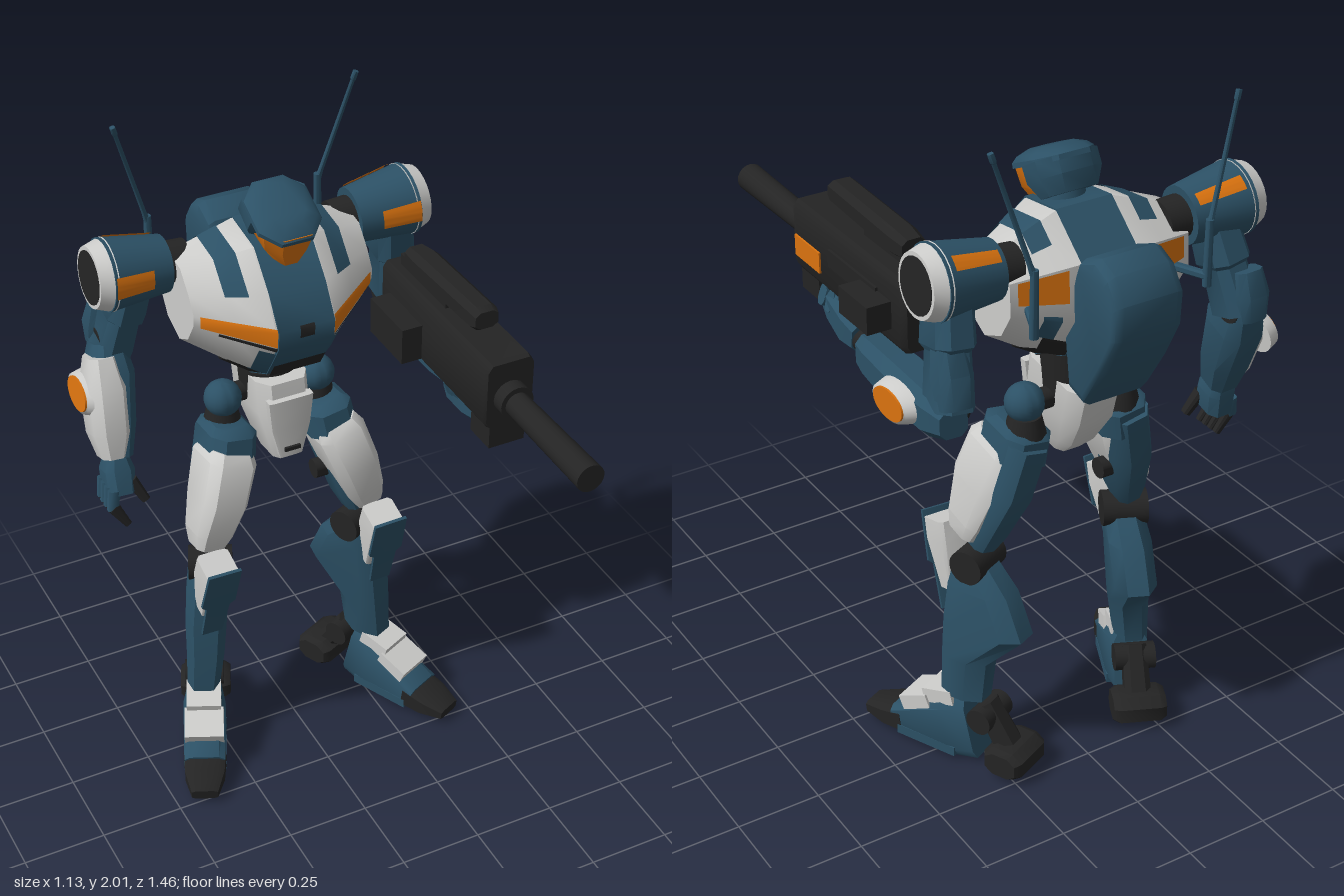
import * as THREE from 'three';
import { toCreasedNormals } from 'three/addons/utils/BufferGeometryUtils.js';

const paint = (name, color) => {
  const m = new THREE.MeshStandardMaterial({ color, side: THREE.DoubleSide });
  m.name = name;
  return m;
};
const V = (x, y, z) => new THREE.Vector3(x, y, z);

export function createModel() {
  const blue = paint('slate blue', 0x2c5166), white = paint('light grey', 0xcdcdcb);
  const orange = paint('orange', 0xdb730f), black = paint('charcoal', 0x242424);
  const root = new THREE.Group();

  function add(name, geo, mat, parent = root, pos = [0, 0, 0], rot = [0, 0, 0]) {
    const m = new THREE.Mesh(toCreasedNormals(geo, 0.7), mat);
    m.name = name;
    m.position.set(...pos);
    m.rotation.set(...rot);
    parent.add(m);
    return m;
  }

  // Closed skin through rings of equal point count; faces are turned outward.
  function loft(rings) {
    const tris = [], n = rings[0].length;
    for (let r = 0; r + 1 < rings.length; r++) for (let i = 0; i < n; i++) {
      const j = (i + 1) % n, a = rings[r], b = rings[r + 1];
      tris.push([a[i], a[j], b[j]], [a[i], b[j], b[i]]);
    }
    const first = rings[0], last = rings[rings.length - 1];
    for (let i = 1; i + 1 < n; i++) tris.push([first[0], first[i + 1], first[i]], [last[0], last[i], last[i + 1]]);
    const vol = tris.reduce((s, [a, b, c]) => s + a.clone().sub(first[0]).dot(b.clone().sub(first[0]).cross(c.clone().sub(first[0]))), 0);
    const pts = tris.flatMap(([a, b, c]) => (vol < 0 ? [a, c, b] : [a, b, c]));
    return new THREE.BufferGeometry().setFromPoints(pts);
  }

  // Chamfered bar from a to b; sections are [t, width, depth, forward shift].
  function limb(a, b, sections, cut = 0.55) {
    const A = V(...a), B = V(...b), d = B.clone().sub(A).normalize();
    const u = Math.abs(d.x) > 0.9 ? V(0, 1, 0) : V(1, 0, 0);
    u.addScaledVector(d, -u.dot(d)).normalize();
    const v = u.clone().cross(d);
    if (v.z < 0) v.negate();
    const oct = [[1, cut], [cut, 1], [-cut, 1], [-1, cut], [-1, -cut], [-cut, -1], [cut, -1], [1, -cut]];
    return loft(sections.map(([t, w, dep, off = 0]) => oct.map(([p, q]) =>
      A.clone().lerp(B, t).addScaledVector(u, p * w / 2).addScaledVector(v, q * dep / 2 + off))));
  }
  const box = (w, h, d) => new THREE.BoxGeometry(w, h, d);
  const cyl = (r1, r2, h, n = 20) => new THREE.CylinderGeometry(r1, r2, h, n);
  const Q = Math.PI / 2;

  // ---- Torso: side outline (z, y) that shrinks towards the shoulders
  const hull = [[-.42, 1.72], [-.28, 1.7], [-.19, 1.6], [-.135, 1.51], [-.14, 1.455],
    [-.22, 1.33], [-.33, 1.27], [-.47, 1.33], [-.55, 1.46], [-.54, 1.62]];
  function hullPoint(x, s, grow = 0) {
    const k = ((s % 10) + 10) % 10, i = Math.floor(k), t = k - i, p = hull[i], q = hull[(i + 1) % 10];
    const f = 1 + grow - Math.max(0, Math.abs(x) - .09) * 2.33;
    return V(x, 1.57 + (p[1] + (q[1] - p[1]) * t - 1.57) * f, -.45 + (p[0] + (q[0] - p[0]) * t + .45) * f);
  }
  const hullRing = (x, g) => hull.map((_, i) => hullPoint(x, i, g));
  // Thin painted panel lying on the hull
  function panel(name, x0, x1, s0, s1, mat, grow = .022) {
    const pts = [], steps = [s0];
    for (let s = Math.floor(s0) + 1; s < s1; s++) steps.push(s);
    steps.push(s1);
    for (let i = 0; i + 1 < steps.length; i++) {
      const a = hullPoint(x0, steps[i], grow), b = hullPoint(x1, steps[i], grow);
      const c = hullPoint(x1, steps[i + 1], grow), d = hullPoint(x0, steps[i + 1], grow);
      pts.push(...(x1 > x0 ? [a, d, c, a, c, b] : [a, c, d, a, b, c]));
    }
    add(name, new THREE.BufferGeometry().setFromPoints(pts), mat);
  }
  add('torsoHull', loft([-.275, -.18, -.09, .09, .18, .275].map(x => hullRing(x, 0))), white);
  add('chestCore', loft([-.085, .085].map(x => hullRing(x, .03))), blue);
  panel('chestVent', -.08, .08, 4.6, 6.3, black, .05);
  panel('chestSlot', -.022, .022, 2.9, 3.5, black, .045);
  for (const s of [-1, 1]) {
    panel('chestBand', s * .087, s * .262, 2.9, 3.9, orange);
    panel('chestSeam', s * .087, s * .22, 3.95, 4.1, black);
    panel('chestLowerPanel', s * .085, s * .125, 4.2, 5.3, blue);
    panel('torsoUnderside', s * .085, s * .17, 5.3, 7.4, black);
    panel('shoulderStripe', s * .135, s * .192, -.5, 2.05, blue);
    panel('backBand', s * .12, s * .255, 8.35, 8.95, orange);
    panel('backStripe', s * .14, s * .19, 7.4, 8.1, blue);
    // Antennas
    add('antennaBase', cyl(.011, .013, .19, 10), blue, root, [s * .266, 1.585, -.6]);
    add('antennaWhip', limb([s * .266, 1.66, -.6], [s * .368, 2, -.56],
      [[0, .018, .018], [.1, .013, .013], [.92, .011, .011], [.93, .015, .015], [1, .015, .015]]), blue);
    add('antennaMount', limb([s * .22, 1.52, -.5], [s * .264, 1.52, -.6], [[0, .022, .022], [1, .022, .022]]), blue);
  }

  // ---- Backpack
  const pack = [[-.55, 1.64], [-.62, 1.67], [-.68, 1.645], [-.725, 1.58], [-.72, 1.48], [-.66, 1.36], [-.58, 1.23], [-.51, 1.25], [-.48, 1.45]];
  add('backpack', loft([[-.107, .84], [-.1, .94], [-.08, 1], [.08, 1], [.1, .94], [.107, .84]].map(([x, f]) =>
    pack.map(([z, y]) => V(x, 1.46 + (y - 1.46) * f, -.6 + (z + .6) * f)))), blue);

  // ---- Head: cap, back shell and a visor below the brim
  const head = new THREE.Group();
  head.name = 'head';
  head.position.set(0, 1.775, -.285);
  head.rotation.x = .45;
  root.add(head);
  add('helmetCap', limb([0, .014, 0], [0, .054, 0], [[0, .19, .215], [.35, .188, .215], [.7, .16, .19], [1, .1, .13]], .5), blue, head);
  add('helmetShell', limb([0, -.075, -.04], [0, .02, -.03], [[0, .15, .09], [.5, .19, .14], [1, .19, .145]], .5), blue, head);
  add('visor', limb([0, -.095, .045], [0, .016, .02], [[0, .075, .11, .01], [.45, .145, .15], [1, .168, .172]], .5), orange, head);
  add('neck', cyl(.06, .075, .14), blue, root, [0, 1.68, -.32], [.2, 0, 0]);

  // ---- Waist and pelvis
  add('waist', cyl(.1, .085, .2), black, root, [0, 1.27, -.39]);
  add('pelvis', limb([0, 1.23, -.39], [0, .97, -.36],
    [[0, .16, .27], [.4, .16, .26, .01], [.8, .11, .2, .03], [1, .08, .13, .04]], .65), white);
  add('pelvisPlate', limb([0, 1.2, -.245], [0, 1.0, -.25], [[0, .14, .03], [.5, .12, .03], [1, .07, .03]], .8), white);
  add('pelvisSlot', box(.05, .012, .008), black, root, [0, 1.03, -.229]);
  add('hipAxle', cyl(.03, .03, .3), black, root, [0, 1.16, -.39], [0, 0, Q]);

  // ---- Legs
  for (const s of [-1, 1]) {
    add('hipJoint', new THREE.SphereGeometry(.056, 18, 12), blue, root, [s * .15, 1.16, -.38]);
    add('hipSocket', cyl(.045, .06, .06), black, root, [s * .152, 1.095, -.385]);
    add('thighCollar', limb([s * .15, 1.095, -.355], [s * .165, 1, -.345], [[0, .1, .13], [.2, .145, .19], [1, .15, .2]]), blue);
    add('thighCore', limb([s * .14, 1.16, -.385], [s * .252, .66, -.295],
      [[.2, .12, .17, -.01], [.5, .12, .18, -.012], [.8, .1, .13], [.92, .07, .09]]), blue);
    add('thighArmour', limb([s * .166, 1.03, -.325], [s * .266, .73, -.275],
      [[0, .125, .15], [.1, .15, .195], [.5, .14, .19, .008], [.85, .115, .14], [1, .085, .1]], .65), white);
    add('thighBolt', cyl(.03, .03, .1), black, root, [s * .17, .84, -.34], [0, 0, Q]);
    add('kneeJoint', cyl(.052, .052, .13), black, root, [s * .245, .645, -.295], [0, s * .43, Q]);
    // Knee guard: light block with a blue front
    add('kneeGuard', limb([s * .272, .73, -.175], [s * .275, .53, -.235], [[0, .1, .1], [.3, .105, .1], [1, .08, .06]], .8), white);
    add('kneePlate', limb([s * .272, .733, -.124], [s * .284, .45, -.214], [[0, .104, .01], [.5, .108, .01], [.55, .075, .01], [1, .065, .01]], .95), blue);

    const leg = new THREE.Group();
    leg.name = 'lowerLeg';
    leg.position.set(s * .28, 0, -.3);
    leg.rotation.y = s * .43;
    root.add(leg);
    // Shin: horizontal slices of [y, front z, back z, width, inward shift]
    add('shin', loft([[.2, .075, -.06, .1, 0], [.33, .075, -.07, .115, .01], [.45, .07, -.185, .125, .015], [.57, .06, -.13, .125, .025], [.64, .05, -.06, .11, .035]]
      .map(([y, f, b, w, dx]) => [[.3, f], [.5, f - .035], [.5, b + .05], [.25, b], [-.25, b], [-.5, b + .05], [-.5, f - .035], [-.3, f]]
        .map(([p, z]) => V(p * w - s * dx, y, z)))), blue, leg);
    // Ankle, heel roller and foot
    add('ankle', cyl(.04, .04, .12), black, leg, [0, .155, -.07], [0, 0, Q]);
    add('heelStrut', limb([0, .19, -.06], [0, .05, -.15], [[0, .07, .06], [1, .08, .07]]), black, leg);
    add('heel', limb([-.078, .046, -.155], [.078, .046, -.155], [[0, .07, .1], [.12, .09, .125], [.88, .09, .125], [1, .07, .1]], .5), black, leg);
    add('foot', limb([0, .1, -.03], [0, .04, .23], [[0, .1, .2], [.3, .13, .19], [1, .125, .08]], .7), blue, leg);
    add('footSole', box(.13, .03, .2), blue, leg, [0, .016, .11]);
    add('toe', limb([0, .04, .2], [0, .02, .34], [[0, .13, .08], [.5, .12, .065], [1, .08, .035]], .7), black, leg);
    add('anklePlate', box(.105, .045, .1), white, leg, [0, .18, .075], [.25, 0, 0]);
    add('instepPlate', box(.12, .05, .1), white, leg, [0, .13, .15], [.4, 0, 0]);
  }

  // ---- Shoulder pods: cones widening outward
  const podRadius = y => .0942 + .128 * y;
  for (const s of [-1, 1]) {
    const pod = new THREE.Group();
    pod.name = 'shoulder';
    pod.position.set(s * .385, 1.625, -.44);
    pod.rotation.z = -s * (Q - .06);
    root.add(pod);
    add('shoulderJoint', cyl(.06, .06, .09), black, pod, [0, -.115, 0]);
    add('shoulderPod', cyl(podRadius(.085), podRadius(-.095), .18, 24), blue, pod, [0, -.005, 0]);
    add('shoulderRing', cyl(.088, .105, .05, 24), white, pod, [0, .098, 0]);
    add('shoulderCap', cyl(.077, .077, .008, 24), black, pod, [0, .121, 0]);
    // Painted marks: [angle, arc, centre, length]
    for (const [mid, arc, y, len] of [[-.1, .6, .025, .115], [-2.3, .4, -.01, .14]])
      add('shoulderMark', new THREE.CylinderGeometry(podRadius(y + len / 2) + .004, podRadius(y - len / 2) + .004, len, 8, 1, true,
        s * mid - arc / 2, arc), orange, pod, [0, y, 0]);
  }

  // Elbow badge: white oval with an orange inset, facing sideways
  function badge(s, pos, w, h, rot) {
    const g = new THREE.Group();
    g.name = 'elbowBadge';
    g.position.set(...pos);
    g.rotation.set(...rot);
    root.add(g);
    add('badgeRim', cyl(.85, 1, .035, 24), white, g, [0, 0, 0], [0, 0, -s * Q]).scale.set(h, 1, w);
    add('badgeInset', cyl(.74, .74, .008, 24), orange, g, [s * .019, 0, 0], [0, 0, -s * Q]).scale.set(h, 1, w);
  }

  // ---- Hanging right arm
  add('rightUpperArm', limb([-.385, 1.6, -.45], [-.43, 1.34, -.525], [[0, .11, .13], [.45, .12, .15], [.5, .1, .12], [1, .11, .14]]), blue);
  add('rightElbow', cyl(.05, .05, .08), black, root, [-.435, 1.36, -.525], [0, 0, Q]);
  add('rightElbowGuard', limb([-.435, 1.47, -.55], [-.44, 1.33, -.575], [[0, .08, .06], [.5, .1, .09], [1, .08, .06]]), blue);
  add('rightForearm', limb([-.445, 1.36, -.52], [-.483, 1.05, -.4], [[0, .09, .11], [.25, .13, .16], [.7, .12, .13], [1, .09, .1]]), blue);
  add('rightForearmPlate', limb([-.478, 1.34, -.49], [-.498, 1.06, -.39], [[0, .08, .11], [.3, .115, .165], [.75, .11, .14], [1, .07, .1]]), white);
  badge(-1, [-.535, 1.235, -.48], .092, .062, [0, 0, -.12]);
  add('rightPalm', limb([-.483, 1.06, -.4], [-.49, .95, -.37], [[0, .06, .07], [.4, .09, .1], [1, .08, .11]]), blue);
  for (let i = 0; i < 4; i++) {
    const z = -.41 + i * .026;
    add('rightFinger', limb([-.52, .98, z], [-.53, .92, z + .01], [[0, .034, .025], [1, .032, .025]]), blue);
    add('rightFingertip', limb([-.53, .93, z + .01], [-.49, .865, z + .02], [[0, .034, .025], [1, .022, .02]]), black);
  }
  add('rightThumb', limb([-.46, .99, -.35], [-.425, .92, -.33], [[0, .035, .035], [1, .026, .026]]), black);

  // ---- Left arm, bent forward to hold the gun
  add('leftUpperArm', limb([.42, 1.6, -.44], [.455, 1.3, -.5], [[0, .11, .13], [.45, .12, .15], [.5, .1, .12], [1, .11, .14]]), blue);
  add('leftElbowGuard', limb([.45, 1.48, -.49], [.46, 1.32, -.545], [[0, .08, .06], [.5, .1, .09], [1, .09, .07]]), blue);
  add('leftElbow', cyl(.055, .055, .08), black, root, [.45, 1.3, -.48], [0, 0, Q]);
  add('leftForearm', limb([.47, 1.28, -.55], [.445, 1.265, -.08], [[0, .08, .08], [.15, .12, .12], [.55, .13, .13], [.88, .11, .115], [1, .09, .1]]), blue);
  badge(1, [.54, 1.28, -.375], .092, .057, [0, .05, 0]);
  add('leftWrist', cyl(.038, .038, .08), black, root, [.435, 1.27, -.05], [Q, 0, 0]);
  add('leftHand', limb([.43, 1.275, -.035], [.4, 1.305, .19], [[0, .09, .09], [.25, .115, .12], [.7, .11, .11], [1, .09, .08]]), blue);
  for (let i = 0; i < 4; i++)
    add('leftFinger', limb([.46, 1.315 + i * .004, .04 + i * .04], [.36, 1.28 + i * .004, .04 + i * .04], [[0, .06, .034], [1, .06, .034]]), blue);

  // ---- Gun
  const gun = new THREE.Group();
  gun.name = 'gun';
  gun.position.set(.385, 1.43, 0);
  root.add(gun);
  add('gunBody', limb([0, .015, -.29], [0, .015, .32], [[0, .13, .19], [.04, .145, .21], [.97, .145, .21], [1, .14, .2]], .8), black, gun);
  add('gunForeblock', box(.11, .1, .1), black, gun, [0, -.105, .265]);
  add('gunCollar', cyl(.05, .05, .05), black, gun, [0, .005, .335], [Q, 0, 0]);
  add('gunBarrel', cyl(.041, .036, .41), black, gun, [0, .003, .525], [Q, 0, 0]);
  add('gunTopTube', limb([-.01, .165, -.2], [-.01, .18, .2], [[0, .07, .06], [.15, .085, .075], [.95, .08, .07], [1, .07, .05]]), black, gun);
  add('gunTubeMount', box(.05, .06, .26), black, gun, [-.01, .125, -.11]);
  add('gunInnerDrum', box(.07, .11, .19), black, gun, [-.1, -.015, -.135]);
  add('gunOuterDrum', box(.08, .08, .15), black, gun, [.105, .005, -.145]);
  add('gunSideRail', box(.012, .05, .26), black, gun, [.074, .03, -.02]);
  add('gunMark', box(.008, .062, .14), orange, gun, [.074, -.012, .235]);

  return root;
}
